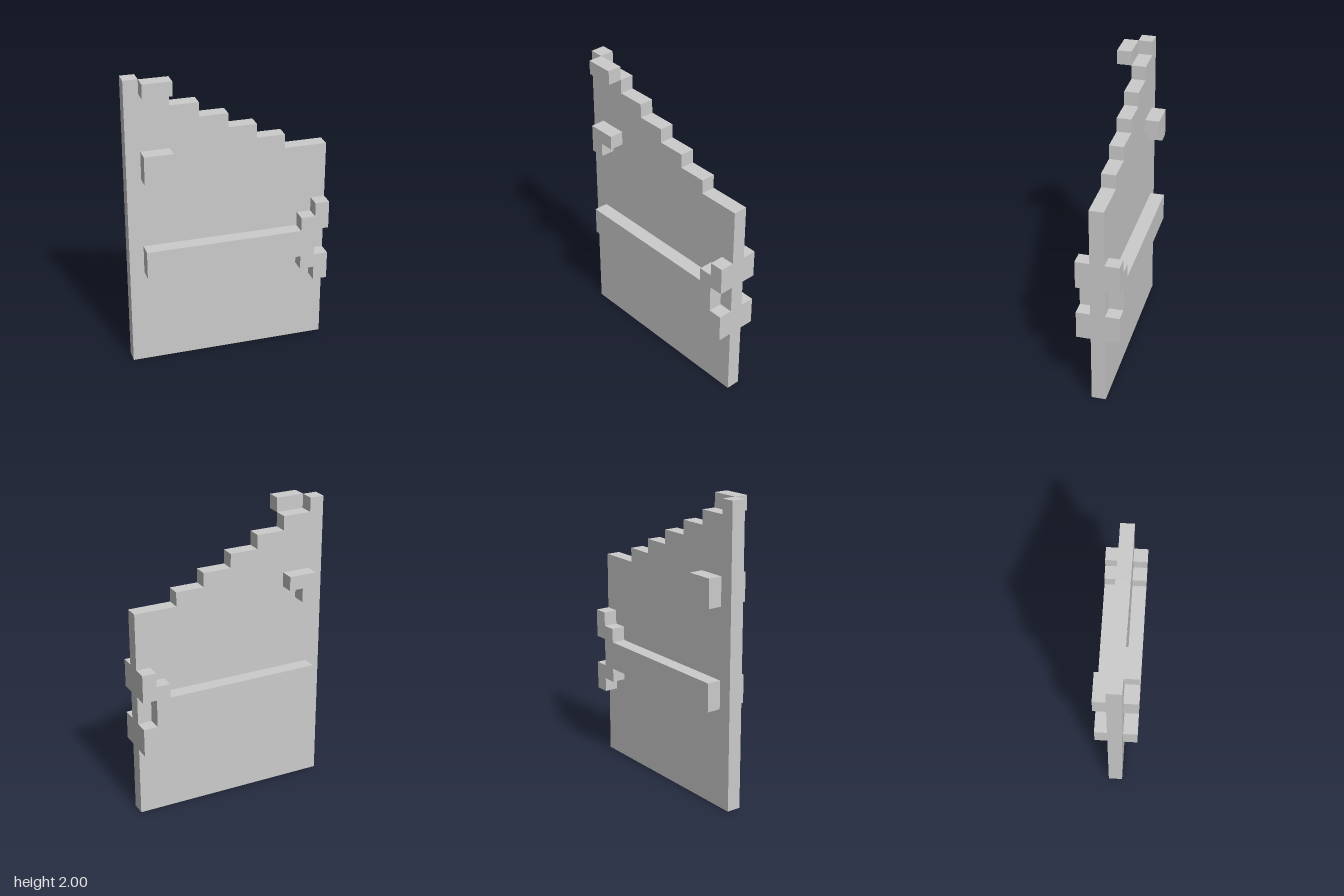
import * as THREE from 'three';

const U = 2 / 21; // one block unit

// Extrudes an outline given in block units from z0 to z1
function slab(name, outline, z0, z1, material) {
  const shape = new THREE.Shape(outline.map(([x, y]) => new THREE.Vector2(x * U, y * U)));
  const geometry = new THREE.ExtrudeGeometry(shape, { depth: (z1 - z0) * U, bevelEnabled: false });
  geometry.translate(0, 0, z0 * U);
  const mesh = new THREE.Mesh(geometry, material);
  mesh.name = name;
  return mesh;
}

export function createModel() {
  const group = new THREE.Group();
  group.name = 'steppedPanel';
  const material = new THREE.MeshStandardMaterial({ color: 0xcccccc, flatShading: true });

  // Panel with a stair-stepped top edge
  const panel = [[-7, 0], [7, 0], [7, 15]];
  [4, 2, 0, -2, -4, -6].forEach((x, i) => panel.push([x, 15 + i], [x, 16 + i]));
  panel.push([-7, 21]);
  group.add(slab('panel', panel, -0.5, 0.5, material));

  // Crossbar flaring into a forked end
  const crossbar = [
    [-6, 7], [5, 7], [5, 6], [6, 6], [6, 5], [7, 5], [7, 7], [6, 7],
    [6, 9], [7, 9], [7, 11], [6, 11], [6, 10], [5, 10], [5, 9], [-6, 9],
  ];
  // Small L-shaped bracket
  const bracket = [[-6, 14], [-5, 14], [-5, 15], [-4, 15], [-4, 16], [-6, 16]];

  // Raised parts on both faces
  for (const [side, z0, z1] of [['front', 0.5, 1.5], ['back', -1.5, -0.5]]) {
    group.add(slab(side + 'Crossbar', crossbar, z0, z1, material));
    group.add(slab(side + 'Bracket', bracket, z0, z1, material));
  }

  // Block at the top corner, front face only
  group.add(slab('topBlock', [[-6, 20], [-4, 20], [-4, 21], [-6, 21]], 0.5, 1.5, material));

  return group;
}
